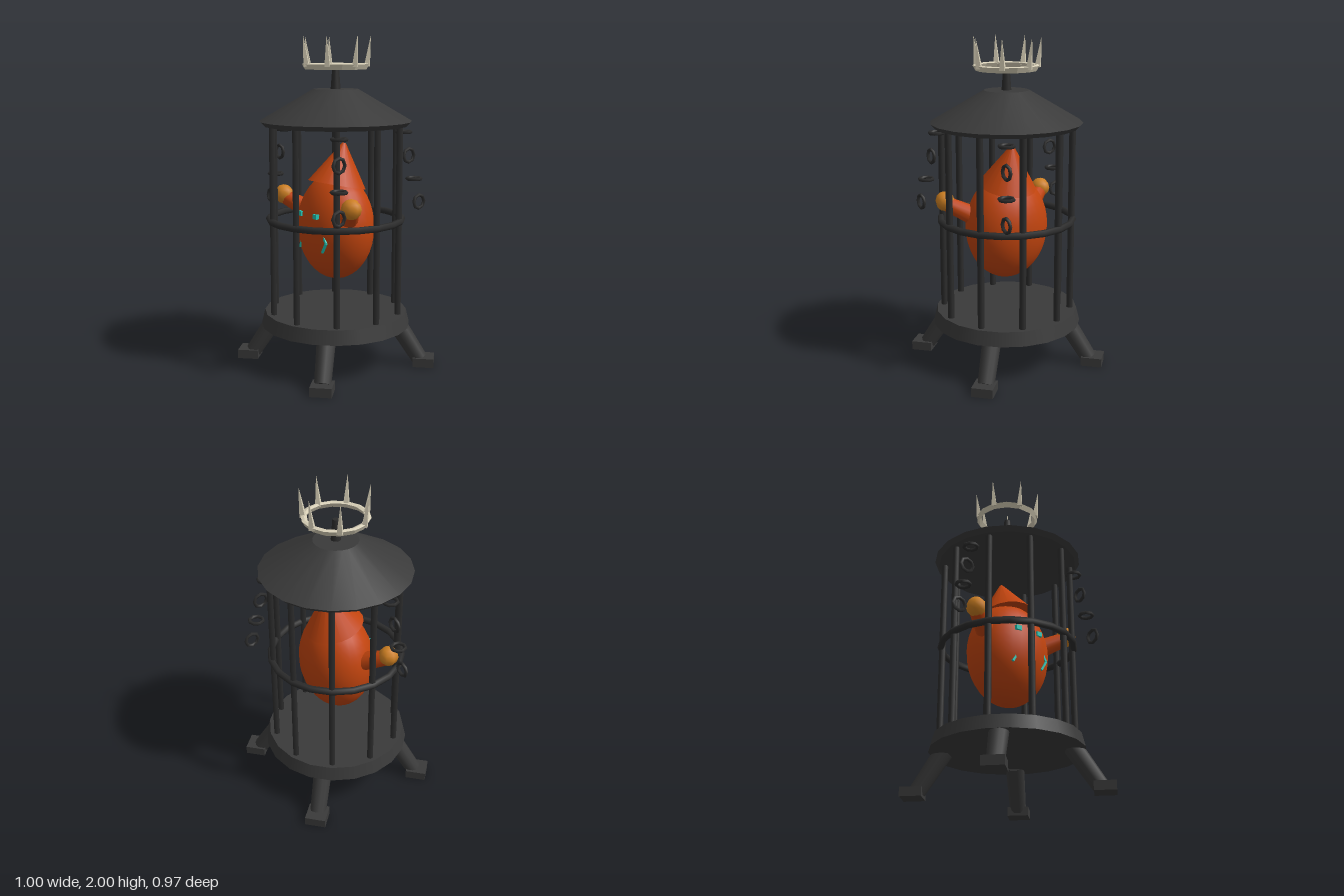
import * as THREE from 'three';

const mat = (name, color, extra = {}) =>
  Object.assign(new THREE.MeshStandardMaterial({ color }), { name }, extra);

export function createModel() {
  const iron = mat('iron', 0x3a3a3a);
  const darkIron = mat('darkIron', 0x2c2c2c);
  const ember = mat('ember', 0xc1440e);
  const amber = mat('amber', 0xcd7f22);
  const teal = mat('teal', 0x22c4b4);
  const bone = mat('bone', 0xd8d0b8, { flatShading: true });

  const root = new THREE.Group();
  root.name = 'hangingCage';
  const cage = new THREE.Group();
  cage.name = 'cage';
  cage.position.set(0.018, 0, 0.005);
  root.add(cage);

  const add = (name, geo, material, x = 0, y = 0, z = 0, parent = cage) => {
    const m = new THREE.Mesh(geo, material);
    m.name = name;
    m.position.set(x, y, z);
    parent.add(m);
    return m;
  };
  // tapered rod between two points
  const rod = (name, a, b, ra, rb, sides, material) => {
    const d = new THREE.Vector3().subVectors(b, a);
    const m = add(name, new THREE.CylinderGeometry(rb, ra, d.length(), sides), material);
    m.position.copy(a).addScaledVector(d, 0.5);
    m.quaternion.setFromUnitVectors(new THREE.Vector3(0, 1, 0), d.normalize());
    return m;
  };
  const V = (x, y, z) => new THREE.Vector3(x, y, z);

  // base, roof and finial
  add('base', new THREE.CylinderGeometry(0.437, 0.458, 0.085, 20), iron, 0, 0.2925, 0);
  add('roof', new THREE.CylinderGeometry(0.135, 0.458, 0.19, 20), iron, 0, 1.597, 0);
  add('roofRim', new THREE.CylinderGeometry(0.458, 0.432, 0.027, 20), iron, 0, 1.4885, 0);
  add('finial', new THREE.CylinderGeometry(0.02, 0.03, 0.13, 10), darkIron, 0, 1.755, 0);

  // bars and middle hoop
  for (let i = 0; i < 10; i++) {
    const a = i * Math.PI / 5;
    add('bar', new THREE.CylinderGeometry(0.02, 0.02, 1.16, 6), darkIron,
      0.395 * Math.cos(a), 0.905, 0.395 * Math.sin(a));
  }
  add('hoop', new THREE.TorusGeometry(0.405, 0.021, 6, 20), darkIron, 0, 0.908, 0).rotation.x = Math.PI / 2;

  // splayed legs with square feet
  for (const sx of [-1, 1]) for (const sz of [-1, 1]) {
    rod('leg', V(sx * 0.37, 0.04, sz * 0.37), V(sx * 0.265, 0.27, sz * 0.265), 0.05, 0.057, 12, iron);
    add('foot', new THREE.BoxGeometry(0.128, 0.055, 0.128), iron, sx * 0.39, 0.0275, sz * 0.388)
      .rotation.y = Math.PI / 4;
  }

  // crown: faceted band with seven spikes leaning outward
  const band = [[0.165, 1.837], [0.183, 1.807], [0.2, 1.838], [0.183, 1.843], [0.165, 1.837]]
    .map(([r, y]) => new THREE.Vector2(r, y));
  add('crownBand', new THREE.LatheGeometry(band, 14, Math.PI / 2), bone);
  for (let i = 0; i < 7; i++) {
    const a = i * Math.PI * 2 / 7, c = Math.cos(a), s = Math.sin(a);
    rod('crownSpike', V(0.186 * c, 1.825, 0.186 * s), V(0.207 * c, 2, 0.207 * s), 0.023, 0.001, 4, bone);
  }

  // captive: egg-shaped body with a pointed hood tilted back
  add('body', new THREE.SphereGeometry(1, 28, 20), ember, 0, 0.86, 0).scale.set(0.262, 0.325, 0.22);
  const hood = add('hood', new THREE.CylinderGeometry(0.012, 0.182, 0.258, 20), ember, 0, 1.239, -0.037);
  hood.rotation.x = -0.21;
  hood.scale.x = 0.94;

  for (const s of [-1, 1]) {
    // arms and fists
    rod('arm', V(s * 0.17, 0.92, 0.035), V(s * 0.345, 1.015, 0.148), 0.063, 0.045, 12, ember);
    add('hand', new THREE.SphereGeometry(0.061, 8, 6), amber, s * 0.345, 1.027, 0.148);
    // eyes
    add('eye', new THREE.BoxGeometry(0.037, 0.028, 0.03), teal, s * 0.077, 0.95, 0.2);
    // bent glowing cracks, both turned the same way
    for (const t of [-1, 1]) {
      const crack = add('crack', new THREE.BoxGeometry(0.013, 0.072, 0.012), teal,
        s * 0.11 + 0.02, 0.797 + t * 0.03, 0.19 - (s > 0 ? 0.008 : 0));
      crack.rotation.z = t * 0.55;
    }
  }

  // loose chains: flat and upright links alternate and drift outward
  const chain = (start, step, upright) => {
    for (let i = 0; i < 4; i++) {
      const link = add('chainLink', new THREE.TorusGeometry(0.042, 0.011, 5, 8), darkIron,
        start[0] + step[0] * i, 1.432 - 0.143 * i, start[1] + step[1] * i, root);
      if (i % 2 === 0) link.rotation.x = Math.PI / 2;
      else link.rotation.y = upright;
    }
  };
  chain([-0.357, 0.13], [-0.032, 0.011], 0);
  chain([0.235, -0.348], [0.018, -0.028], Math.PI / 2);
  chain([0.367, 0.243], [0.027, 0.021], Math.PI / 2);

  return root;
}
